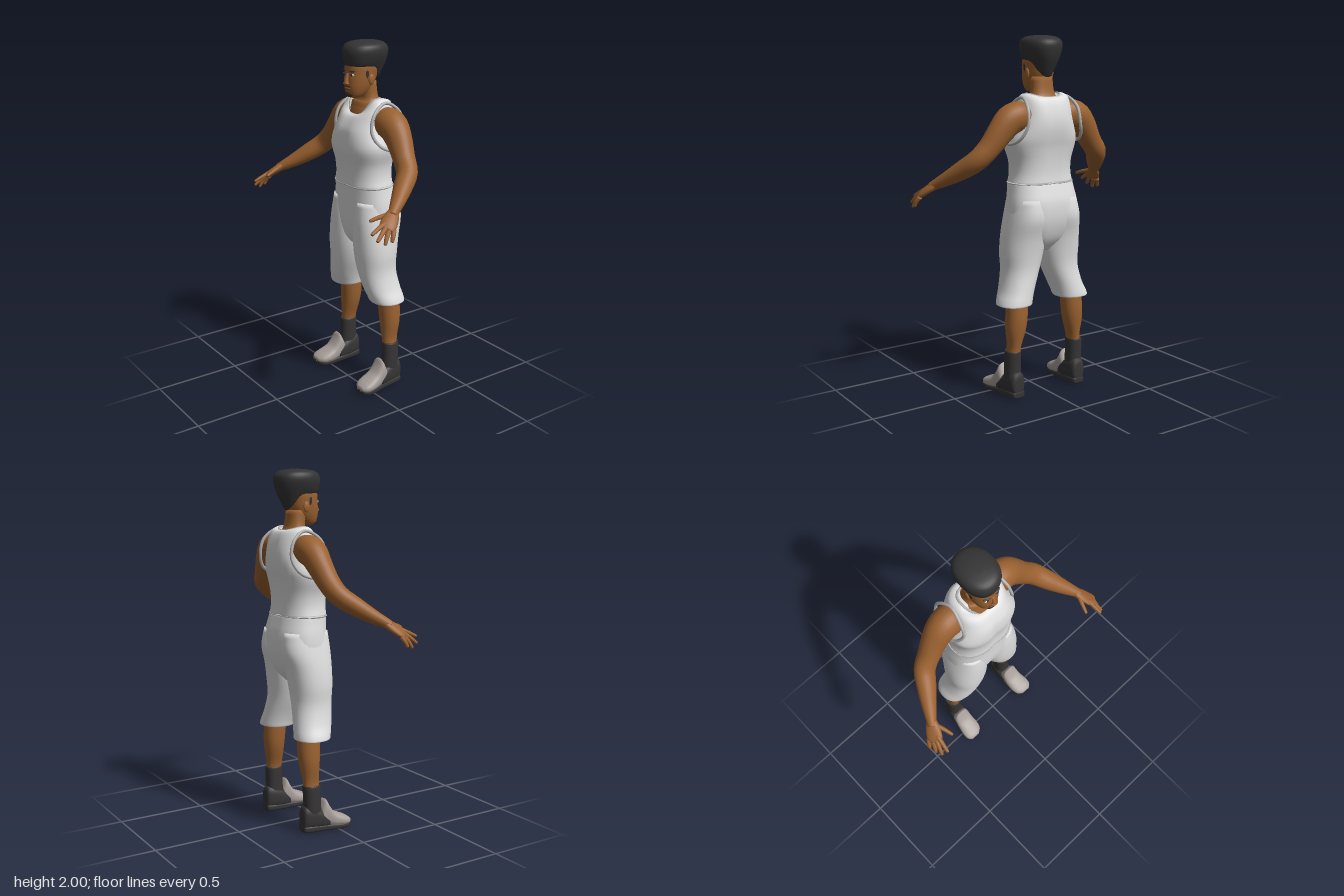
import * as THREE from 'three';

const mat = (name, color, side = THREE.FrontSide) => {
  const m = new THREE.MeshStandardMaterial({ color, side });
  m.name = name;
  return m;
};

// Skin a list of closed rings, with a cap at each end
function loft(rings, capStart = true, capEnd = true) {
  const n = rings[0].length, pos = [], idx = [];
  rings.forEach(r => r.forEach(p => pos.push(p.x, p.y, p.z)));
  for (let i = 0; i < rings.length - 1; i++) for (let j = 0; j < n; j++) {
    const k = (j + 1) % n, a = i * n + j, b = i * n + k, c = a + n, d = b + n;
    idx.push(a, b, d, a, d, c);
  }
  const cap = (ring, base, flip) => {
    const c = new THREE.Vector3();
    ring.forEach(p => c.addScaledVector(p, 1 / n));
    const id = pos.length / 3;
    pos.push(c.x, c.y, c.z);
    for (let j = 0; j < n; j++) {
      const k = (j + 1) % n;
      flip ? idx.push(id, base + k, base + j) : idx.push(id, base + j, base + k);
    }
  };
  if (capStart) cap(rings[0], 0, true);
  if (capEnd) cap(rings[rings.length - 1], (rings.length - 1) * n, false);
  const g = new THREE.BufferGeometry();
  g.setAttribute('position', new THREE.Float32BufferAttribute(pos, 3));
  g.setIndex(idx);
  g.computeVertexNormals();
  return g;
}

const pw = (v, n) => Math.sign(v) * Math.abs(v) ** (2 / n);

// Rounded section: height, x from/to, z back/front, drop at the front and back
function section([y, x0, x1, zb, zf, dipF = 0, dipB = 0], n = 2.3, groove = 0, segs = 36) {
  return Array.from({ length: segs }, (_, j) => {
    const t = j / segs * Math.PI * 2, c = Math.cos(t), s = Math.sin(t);
    const x = (x1 - x0) / 2 * pw(s, n);
    const k = 1 - groove * Math.exp(-((x / 0.035) ** 2));
    return new THREE.Vector3((x0 + x1) / 2 + x,
      y - (c > 0 ? dipF : dipB) * c * c, (zb + zf) / 2 + (zf - zb) / 2 * pw(c, n) * k);
  });
}

// Resample rows smoothly so few rows give a soft outline
function smooth(rows, sub = 3) {
  const out = [], at = i => rows[Math.max(0, Math.min(rows.length - 1, i))];
  for (let i = 0; i < rows.length - 1; i++) for (let s = 0; s < sub; s++) {
    const t = s / sub;
    out.push(at(i).map((b, k) => {
      const a = at(i - 1)[k], c = at(i + 1)[k], d = at(i + 2)[k];
      return b + 0.5 * t * (c - a + t * (2 * a - 5 * b + 4 * c - d + t * (3 * (b - c) + d - a)));
    }));
  }
  out.push(rows[rows.length - 1]);
  return out;
}
const stack = (rows, n, groove) => loft(smooth(rows).map(r => section(r, n, groove)));
const sym = rows => rows.map(([y, w, ...rest]) => [y, -w, w, ...rest]);
// Shoe pieces run along z: z, x from/to, bottom, top
const along = (rows, n) => stack(rows.map(([z, a, b, lo, hi]) => [z, a, b, -hi, -lo]), n).rotateX(Math.PI / 2);

// Limb through points [x, y, z, wide radius, thin radius]
function limb(points, wide, segs = 20) {
  const rows = smooth(points), W = new THREE.Vector3(...wide);
  const P = rows.map(r => new THREE.Vector3(r[0], r[1], r[2]));
  return loft(rows.map((r, i) => {
    const T = P[Math.min(i + 1, P.length - 1)].clone().sub(P[Math.max(i - 1, 0)]).normalize();
    const A = W.clone().addScaledVector(T, -W.dot(T)).normalize(), B = T.clone().cross(A);
    return Array.from({ length: segs }, (_, j) => {
      const t = j / segs * Math.PI * 2;
      return P[i].clone().addScaledVector(A, r[3] * Math.cos(t)).addScaledVector(B, r[4] * Math.sin(t));
    });
  }));
}

const blob = (x, y, z, a, b, c) => new THREE.SphereGeometry(1, 20, 14).scale(a, b, c).translate(x, y, z);
const trimTube = (pts, r) => new THREE.TubeGeometry(new THREE.CatmullRomCurve3(pts, true), 64, r, 8, true);

function mirrored(geo) {
  const g = geo.clone().scale(-1, 1, 1), ix = g.index.array;
  for (let i = 0; i < ix.length; i += 3) [ix[i], ix[i + 1]] = [ix[i + 1], ix[i]];
  return g;
}

export function createModel() {
  const model = new THREE.Group();
  model.name = 'standingMan';
  const skin = mat('skin', 0x9a6130), cloth = mat('whiteCloth', 0xdedede), trim = mat('greyTrim', 0xb4b4b4);
  const hair = mat('blackHair', 0x333333), beard = mat('darkBeard', 0x4a2d18), lips = mat('lips', 0x7a4330);
  const dark = mat('darkShoe', 0x363434), grey = mat('greyShoe', 0xa89f9a), eyeWhite = mat('eyeWhite', 0xd8d0c8);

  const add = (name, geo, m) => {
    const mesh = new THREE.Mesh(geo, m);
    mesh.name = name;
    model.add(mesh);
  };
  const pair = (name, geo, m) => {
    add(name + 'Left', geo, m);
    add(name + 'Right', mirrored(geo), m);
  };

  // Tank top and its collar
  const shirt = sym([
    [1.2, .191, -.242, .022, 0, 0], [1.26, .178, -.237, .02, 0, 0], [1.33, .182, -.24, .026, 0, 0],
    [1.4, .204, -.25, .04, 0, 0], [1.45, .206, -.262, .041, 0, 0], [1.51, .183, -.272, .034, 0, 0],
    [1.57, .164, -.27, .018, .02, 0], [1.63, .155, -.255, -.008, .04, 0],
    [1.675, .142, -.237, -.034, .072, .01], [1.692, .118, -.215, -.042, .094, .02],
    [1.688, .1, -.203, -.048, .1, .02]]);
  add('tankTop', stack(shirt, 2.4, .06), cloth);
  add('collarTrim', trimTube(section(shirt[shirt.length - 1], 2.4, .06), .007), trim);
  const hole = [[.145, 1.672, -.15], [.162, 1.62, -.06], [.172, 1.53, -.035], [.2, 1.455, -.07],
    [.222, 1.425, -.14], [.2, 1.455, -.215], [.172, 1.53, -.25], [.162, 1.62, -.23]];
  pair('armholeTrim', trimTube(hole.map(p => new THREE.Vector3(...p)), .009), trim);

  // Upper chest and neck, rising out of the collar
  add('neck', stack(sym([[1.55, .12, -.23, -.03], [1.61, .108, -.22, -.042], [1.66, .092, -.2, -.062],
    [1.695, .069, -.18, -.08], [1.78, .064, -.17, -.065]])), skin);
  add('collarFill', stack(sym([[1.56, .1, -.2, -.02], [1.61, .098, -.205, -.045], [1.665, .096, -.2, -.062],
    [1.678, .06, -.18, -.08]])), skin);

  // Head and face
  add('head', stack(sym([[1.695, .03, -.07, -.02], [1.712, .05, -.1, -.002], [1.75, .067, -.145, .008],
    [1.79, .076, -.168, .008], [1.83, .08, -.18, .004], [1.88, .08, -.19, 0], [1.94, .055, -.17, -.03]]), 2.2), skin);
  add('hair', stack(sym([[1.862, .076, -.182, -.004, 0, .085], [1.878, .087, -.2, .007, 0, .07],
    [1.91, .1, -.234, .015, 0, .03], [1.945, .107, -.247, .018, 0, 0], [1.975, .1, -.235, .006, 0, 0],
    [1.992, .075, -.205, -.025, 0, 0], [2, .03, -.155, -.08, 0, 0]]), 2.15), hair);
  add('noseBridge', limb([[0, 1.83, -.001, .009, .008], [0, 1.8, .008, .012, .012], [0, 1.775, .014, .015, .012]], [1, 0, 0]), skin);
  add('noseTip', blob(0, 1.776, .013, .021, .011, .014), skin);
  add('mouth', blob(0, 1.747, .004, .026, .008, .01), lips);
  add('moustache', blob(0, 1.76, .004, .03, .005, .008), beard);
  add('goatee', blob(0, 1.717, -.012, .032, .019, .019), beard);
  pair('brow', blob(0, 0, 0, .021, .005, .007).rotateZ(.08).rotateY(.25).translate(.034, 1.843, -.004), hair);
  pair('eye', blob(.034, 1.824, -.005, .015, .007, .007), eyeWhite);
  pair('pupil', blob(.033, 1.824, 0, .008, .007, .0035), dark);
  pair('ear', blob(.08, 1.797, -.1, .009, .03, .019), skin);
  pair('sideburn', blob(.074, 1.835, -.075, .007, .035, .014), hair);

  // Arms, palms and fingers
  pair('arm', limb([[.11, 1.565, -.145, .07, .075], [.17, 1.568, -.145, .08, .087], [.225, 1.55, -.145, .078, .084],
    [.28, 1.49, -.14, .068, .074], [.34, 1.41, -.125, .06, .062], [.4, 1.345, -.1, .055, .06],
    [.45, 1.292, -.035, .05, .054], [.5, 1.243, .035, .039, .042], [.545, 1.203, .1, .028, .028],
    [.56, 1.19, .12, .025, .024]], [0, .5, .85], 28), skin);
  const across = [-.8, .5, .35];
  pair('palm', limb([[.54, 1.208, .093, .026, .022], [.56, 1.185, .125, .04, .022],
    [.585, 1.155, .165, .045, .018], [.595, 1.14, .185, .036, .011]], across), skin);
  const fingers = {
    thumb: [[.545, 1.195, .125], [.525, 1.185, .175], [.51, 1.17, .222]],
    indexFinger: [[.572, 1.168, .17], [.578, 1.148, .22], [.585, 1.127, .265]],
    middleFinger: [[.585, 1.152, .175], [.6, 1.125, .215], [.612, 1.095, .25]],
    ringFinger: [[.6, 1.14, .168], [.615, 1.108, .195], [.625, 1.075, .212]],
    littleFinger: [[.612, 1.135, .15], [.627, 1.108, .165], [.633, 1.083, .175]],
  };
  for (const [name, [a, b, c]] of Object.entries(fingers)) {
    const end = c.map((v, i) => v + (c[i] - b[i]) * .08);
    pair(name, limb([[...a, .015, .014], [...b, .012, .011], [...c, .009, .008], [...end, .003, .003]], across, 12), skin);
  }

  // Long shorts: hips plus two flared legs with hollow hems
  add('shortsHips', stack(sym([[.82, .05, -.17, -.06], [.88, .13, -.225, -.01], [.95, .19, -.255, .008],
    [1.02, .211, -.27, .015], [1.1, .207, -.27, .016], [1.16, .197, -.255, .017], [1.21, .189, -.24, .02]]), 2.4, .05), cloth);
  pair('shortsLeg', stack([[.6, .12, .245, -.21, -.075], [.545, .11, .276, -.222, -.053], [.535, .096, .29, -.236, -.04],
    [.565, .087, .281, -.234, -.028], [.62, .068, .258, -.226, -.01], [.72, .028, .238, -.216, .006],
    [.82, .002, .242, -.225, .016], [.92, -.005, .234, -.243, .018], [1.02, 0, .217, -.27, .016],
    [1.12, .015, .195, -.255, .005]], 2.2), cloth);
  add('waistSeam', trimTube(section([1.205, -.191, .191, -.242, .022], 2.4, .06), .003), trim);

  // Lower legs, socks and shoes
  pair('calf', stack([[.24, .174, .246, -.197, -.107], [.3, .167, .24, -.2, -.105], [.39, .14, .252, -.215, -.1],
    [.48, .128, .25, -.221, -.094], [.62, .125, .24, -.21, -.085]], 2.1), skin);
  pair('sock', stack([[.06, .166, .256, -.2, -.09], [.18, .168, .256, -.2, -.1], [.265, .168, .254, -.203, -.101],
    [.27, .174, .247, -.198, -.107]], 2.2), dark);
  pair('shoeSole', along([[-.215, .18, .235, .012, .04], [-.195, .166, .25, .003, .05], [-.08, .164, .262, 0, .045],
    [0, .162, .28, 0, .04], [.05, .17, .282, .002, .038], [.08, .2, .262, .012, .034]], 3.2), dark);
  pair('shoeHeel', along([[-.214, .182, .235, .03, .115], [-.2, .167, .25, .02, .155], [-.145, .16, .259, .015, .15],
    [-.1, .161, .263, .015, .125], [-.06, .166, .266, .015, .1]], 2.6), dark);
  pair('shoeUpper', along([[-.105, .17, .258, .03, .12], [-.076, .165, .266, .02, .183], [-.055, .163, .27, .018, .15],
    [-.025, .161, .276, .015, .108], [.02, .161, .284, .015, .083], [.058, .173, .281, .018, .066],
    [.08, .203, .259, .025, .05]], 2.5), grey);

  return model;
}
